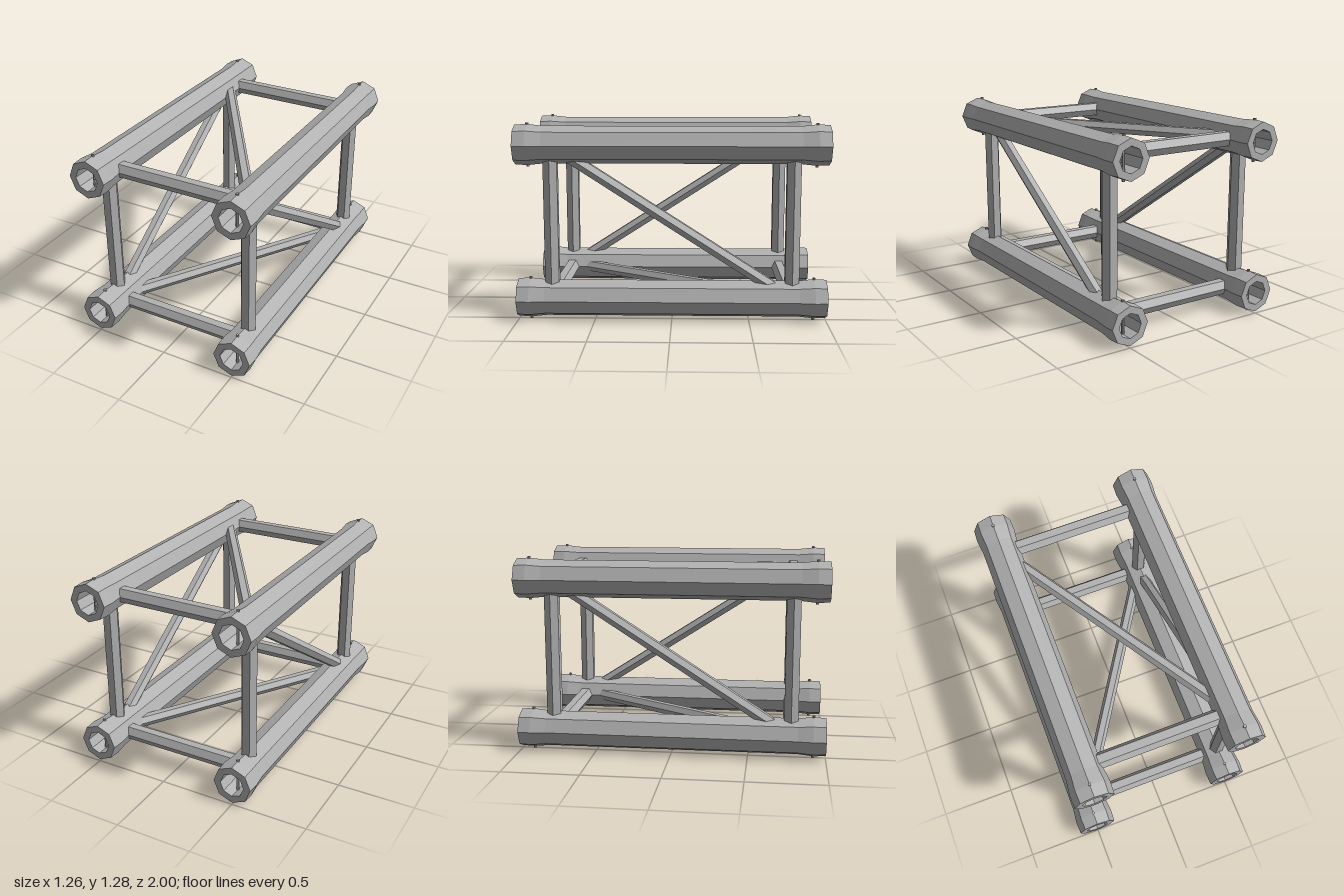
import * as THREE from 'three';

const steel = new THREE.MeshStandardMaterial({ color: 0xb2b2b2 });
steel.name = 'steelGrey';
steel.flatShading = true;

const HALF = 0.5;      // chord offset from the truss axis
const MID_Y = 0.64;    // height of the truss axis
const STATION = 0.777; // z where braces meet the chords

function add(parent, name, geometry, x, y, z) {
  const mesh = new THREE.Mesh(geometry, steel);
  mesh.name = name;
  mesh.position.set(x, y, z);
  parent.add(mesh);
  return mesh;
}

// Hollow octagonal chord with flared ends, lying along z
function chordGeometry() {
  const profile = [
    [0.08, -1], [0.127, -1], [0.131, -0.92], [0.12, -0.82],
    [0.12, 0.82], [0.131, 0.92], [0.127, 1], [0.08, 1], [0.08, -1],
  ].map(([r, y]) => new THREE.Vector2(r, y));
  return new THREE.LatheGeometry(profile, 8).rotateX(Math.PI / 2);
}

// Hexagonal brace between two chords, sheared along z so its ends stay parallel to them
function braceGeometry(radius, slope, vertical) {
  const g = new THREE.CylinderGeometry(radius, radius, 0.81, 6);
  if (vertical) g.rotateY(Math.PI / 2);
  const p = g.attributes.position;
  const stretch = Math.sqrt(1 + slope * slope);
  for (let i = 0; i < p.count; i++) p.setZ(i, p.getZ(i) * stretch + p.getY(i) * slope);
  if (!vertical) g.rotateZ(-Math.PI / 2); // local +y becomes +x
  const flat = g.toNonIndexed();
  flat.computeVertexNormals();
  return flat;
}

export function createModel() {
  const truss = new THREE.Group();
  truss.name = 'boxTruss';

  const chord = chordGeometry();
  const pin = new THREE.CylinderGeometry(0.01, 0.01, 0.28, 8);
  const upright = braceGeometry(0.0525, 0, true);
  const rung = braceGeometry(0.0525, 0, false);

  for (const a of [-1, 1]) {
    for (const b of [-1, 1]) {
      // Chords with a locking pin through each end
      const x = a * HALF, y = MID_Y + b * HALF;
      add(truss, 'chord', chord, x, y, 0);
      for (const end of [-1, 1]) add(truss, 'lockingPin', pin, x, y, end * 0.92);

      // Straight braces near both ends
      add(truss, 'upright', upright, x, MID_Y, b * STATION);
      add(truss, 'crossBar', rung, 0, y, a * STATION);
    }
    // One diagonal per face, opposite faces leaning opposite ways
    const slope = a * STATION / HALF;
    add(truss, 'sideDiagonal', braceGeometry(0.042, slope, true), a * HALF, MID_Y, 0);
    add(truss, 'levelDiagonal', braceGeometry(0.042, slope, false), 0, MID_Y + a * HALF, 0);
  }
  return truss;
}
